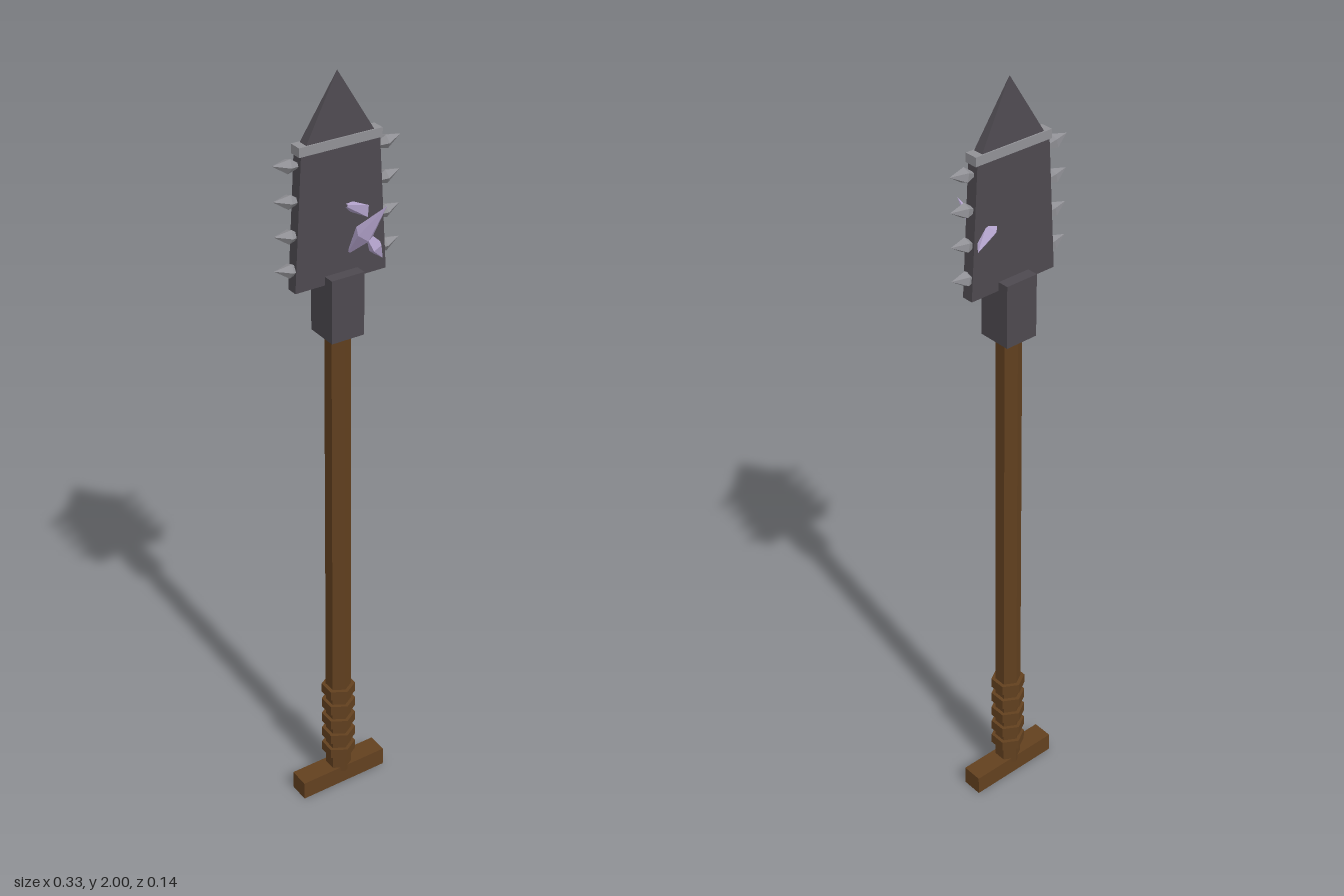
import * as THREE from 'three';

const Z = -0.027; // depth of the weapon's axis

export function createModel() {
  const model = new THREE.Group();
  model.name = 'spikedPolearm';

  const flat = (name, color) => {
    const m = new THREE.MeshStandardMaterial({ color, flatShading: true });
    m.name = name;
    return m;
  };
  const wood = flat('brown wood', 0x62401f);
  const iron = flat('dark iron', 0x4d494f);
  const steel = flat('light steel', 0x919196);
  const crystalMat = flat('pale violet crystal', 0xb3a3cc);

  const add = (name, geometry, material, x, y, z = Z) => {
    const mesh = new THREE.Mesh(geometry, material);
    mesh.name = name;
    mesh.position.set(x, y, z);
    model.add(mesh);
    return mesh;
  };

  // Double-ended point running from a to b, widest at fraction t
  const shard = (name, a, b, radius, t, sides, material) => {
    const from = new THREE.Vector3(...a);
    const dir = new THREE.Vector3(...b).sub(from);
    const len = dir.length();
    const profile = [[0.004, 0], [radius, t * len], [0, len]]
      .map(([r, y]) => new THREE.Vector2(r, y));
    const mesh = add(name, new THREE.LatheGeometry(profile, sides), material, ...a);
    mesh.quaternion.setFromUnitVectors(new THREE.Vector3(0, 1, 0), dir.normalize());
    return mesh;
  };

  // Wooden handle: crossbar, hexagonal shaft and grip rings
  add('crossbar', new THREE.BoxGeometry(0.254, 0.053, 0.055), wood, 0, 0.0265);
  add('shaft', new THREE.CylinderGeometry(0.031, 0.034, 1.34, 6), wood, 0, 0.71);
  for (let i = 0; i < 5; i++) {
    add('gripRing', new THREE.CylinderGeometry(0.044, 0.044, 0.028, 6), wood, 0, 0.11 + i * 0.05);
  }

  // Socket joining shaft and blade
  add('socket', new THREE.BoxGeometry(0.088, 0.16, 0.088), iron, 0, 1.45);

  // Tapered blade slab
  const outline = new THREE.Shape([
    new THREE.Vector2(-0.122, 1.508), new THREE.Vector2(0.122, 1.508),
    new THREE.Vector2(0.102, 1.84), new THREE.Vector2(-0.102, 1.84),
  ]);
  const slab = new THREE.ExtrudeGeometry(outline, { depth: 0.03, bevelEnabled: false });
  add('blade', slab, iron, 0, 0, Z - 0.015);

  // Band and pyramid tip
  add('band', new THREE.BoxGeometry(0.216, 0.022, 0.033), steel, 0, 1.841);
  const tip = new THREE.ConeGeometry(Math.SQRT1_2, 0.152, 4);
  tip.rotateY(Math.PI / 4);
  tip.scale(0.18, 1, 0.027);
  add('bladeTip', tip, iron, 0, 1.924);

  // Rows of spikes along both edges
  for (const side of [-1, 1]) {
    for (let i = 0; i < 4; i++) {
      const y = 1.562 + i * 0.083;
      shard('edgeSpike', [side * 0.098, y - 0.006, Z], [side * 0.167, y + 0.008, Z],
        0.018, 0.42, 5, steel);
    }
  }

  // Crystals growing through the blade
  shard('largeCrystal', [0.022, 1.575, -0.012], [0.068, 1.705, 0.068], 0.023, 0.4, 5, crystalMat);
  shard('throughCrystal', [0.0, 1.7, 0.008], [0.116, 1.635, -0.057], 0.024, 0.6, 5, crystalMat);
  shard('lowerCrystal', [0.065, 1.615, -0.02], [0.107, 1.54, -0.003], 0.019, 0.6, 5, crystalMat);

  return model;
}
